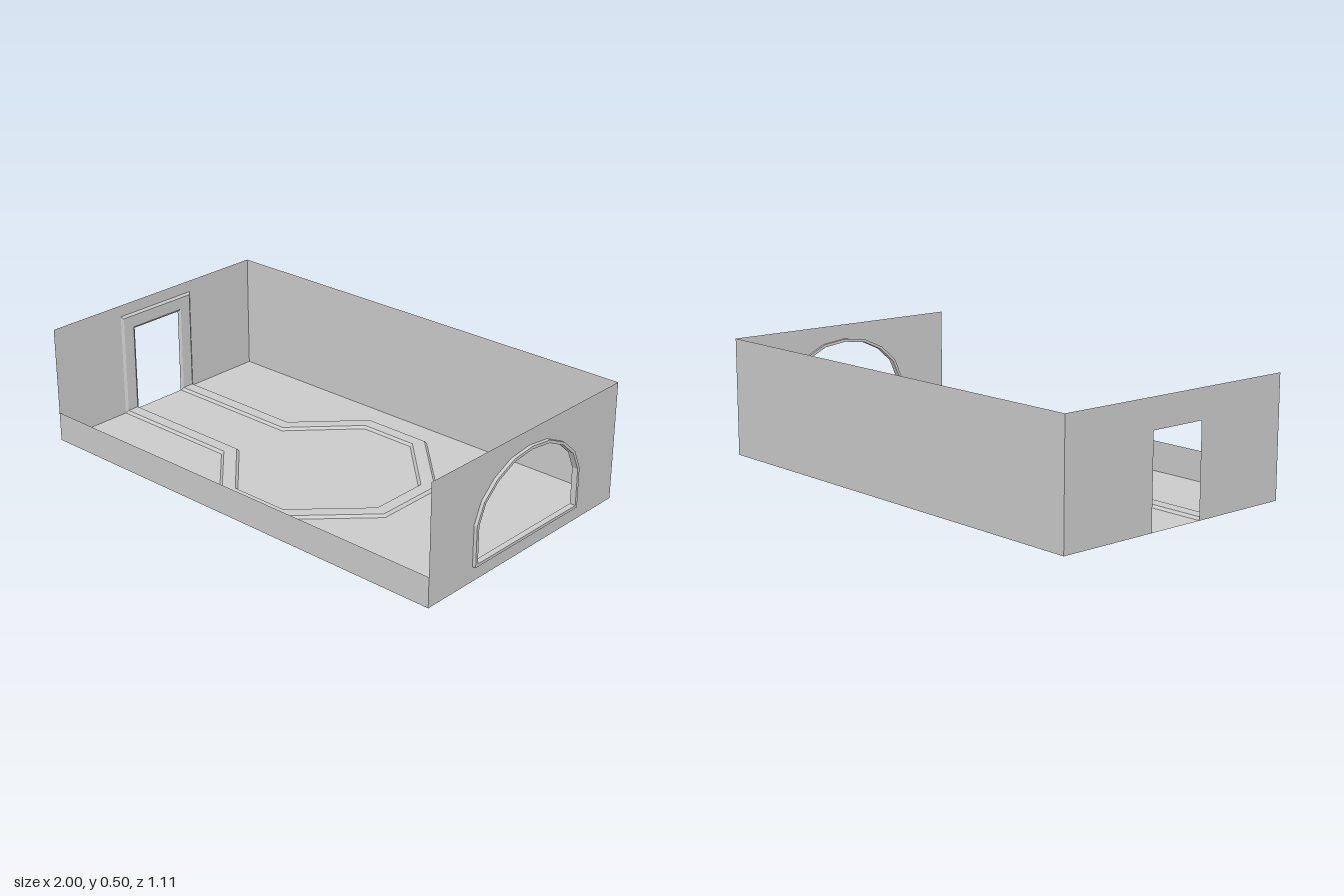
import * as THREE from 'three';

const LEFT = -1, RIGHT = 0.985, HALF = 0.557, TOP = 0.497, LIP = 0.125;
const MID = (LEFT + RIGHT) / 2, LENGTH = RIGHT - LEFT;

const toPoints = (list) => list.map(([x, y]) => new THREE.Vector2(x, y));

// Adds the mirror image (x -> -x or y -> -y) of a half outline.
const mirror = (half, axis, skip) =>
  half.concat(half.slice(0, half.length - skip).reverse()
    .map(([x, y]) => (axis === 'x' ? [-x, y] : [x, -y])));

// Sweeps a profile of [offset, height] along a flat path with mitred corners.
function sweep(path, profile, closed) {
  const pts = toPoints(path), n = pts.length;
  const normal = (a, b) => new THREE.Vector2(a.y - b.y, b.x - a.x).normalize();
  const rings = pts.map((p, i) => {
    const prev = closed || i > 0 ? pts[(i + n - 1) % n] : null;
    const next = closed || i < n - 1 ? pts[(i + 1) % n] : null;
    const n1 = prev ? normal(prev, p) : normal(p, next);
    const n2 = next ? normal(p, next) : n1;
    const m = n1.clone().add(n2).divideScalar(1 + n1.dot(n2));
    return profile.map(([o, h]) => [p.x + m.x * o, p.y + m.y * o, h]);
  });
  const pos = [];
  for (let i = 0; i < (closed ? n : n - 1); i++) {
    const a = rings[i], b = rings[(i + 1) % n];
    for (let k = 0; k < profile.length - 1; k++) {
      pos.push(...a[k], ...b[k], ...b[k + 1], ...a[k], ...b[k + 1], ...a[k + 1]);
    }
  }
  const geo = new THREE.BufferGeometry();
  geo.setAttribute('position', new THREE.Float32BufferAttribute(pos, 3));
  geo.computeVertexNormals();
  return geo;
}

export function createModel() {
  const group = new THREE.Group();
  const material = new THREE.MeshStandardMaterial({
    color: 0xcccccc, side: THREE.DoubleSide, flatShading: true,
  });
  const add = (name, geo, position, rotation = [0, 0, 0]) => {
    const mesh = new THREE.Mesh(geo, material);
    mesh.name = name;
    mesh.position.set(...position);
    mesh.rotation.set(...rotation);
    group.add(mesh);
  };
  const quarter = Math.PI / 2;

  // Floor, full back wall and low front wall
  add('floor', new THREE.PlaneGeometry(LENGTH, HALF * 2), [MID, 0, 0], [-quarter, 0, 0]);
  add('backWall', new THREE.PlaneGeometry(LENGTH, TOP), [MID, TOP / 2, -HALF], [0, Math.PI, 0]);
  add('frontLowWall', new THREE.PlaneGeometry(LENGTH, LIP), [MID, LIP / 2, HALF]);

  // End wall with a doorway down to the floor
  const doorWall = mirror(
    [[-HALF, TOP], [-HALF, 0], [-0.125, 0], [-0.125, 0.375]], 'x', 0);
  add('doorWall', new THREE.ShapeGeometry(new THREE.Shape(toPoints(doorWall))),
    [LEFT, 0, 0], [0, -quarter, 0]);

  // Opposite end wall with an arched window
  const arch = mirror(
    [[-0.305, 0.068], [-0.305, 0.23], [-0.269, 0.31], [-0.199, 0.372], [-0.106, 0.415], [0, 0.428]],
    'x', 1);
  const windowWall = new THREE.Shape(toPoints(
    [[-HALF, 0], [HALF, 0], [HALF, TOP], [-HALF, TOP]]));
  windowWall.holes.push(new THREE.Path(toPoints(arch)));
  add('windowWall', new THREE.ShapeGeometry(windowWall), [RIGHT, 0, 0], [0, quarter, 0]);

  // Square-edged window frame standing out on both sides of the wall
  const w = 0.006, d = 0.0125;
  add('windowFrame', sweep(arch, [[-w, -d], [-w, d], [w, d], [w, -d], [-w, -d]], true),
    [RIGHT + 0.002, 0, 0], [0, quarter, 0]);

  // Bevelled trim shared by the door frame and the floor edging
  const trim = (h) => [[-0.036, 0], [-0.026, h], [0.026, h], [0.036, 0]];
  const doorPath = mirror([[-0.163, 0], [-0.163, 0.411]], 'x', 0);
  add('doorFrame', sweep(doorPath, trim(0.008), false), [LEFT, 0, 0], [0, quarter, 0]);

  // Raised edging: a straight path opening into an octagon
  const edging = mirror(
    [[LEFT, 0.163], [-0.396, 0.163], [-0.151, 0.414], [0.131, 0.414], [0.406, 0.142]], 'y', 0);
  add('floorEdging', sweep(edging, trim(0.011), false), [0, 0, 0], [-quarter, 0, 0]);

  return group;
}
